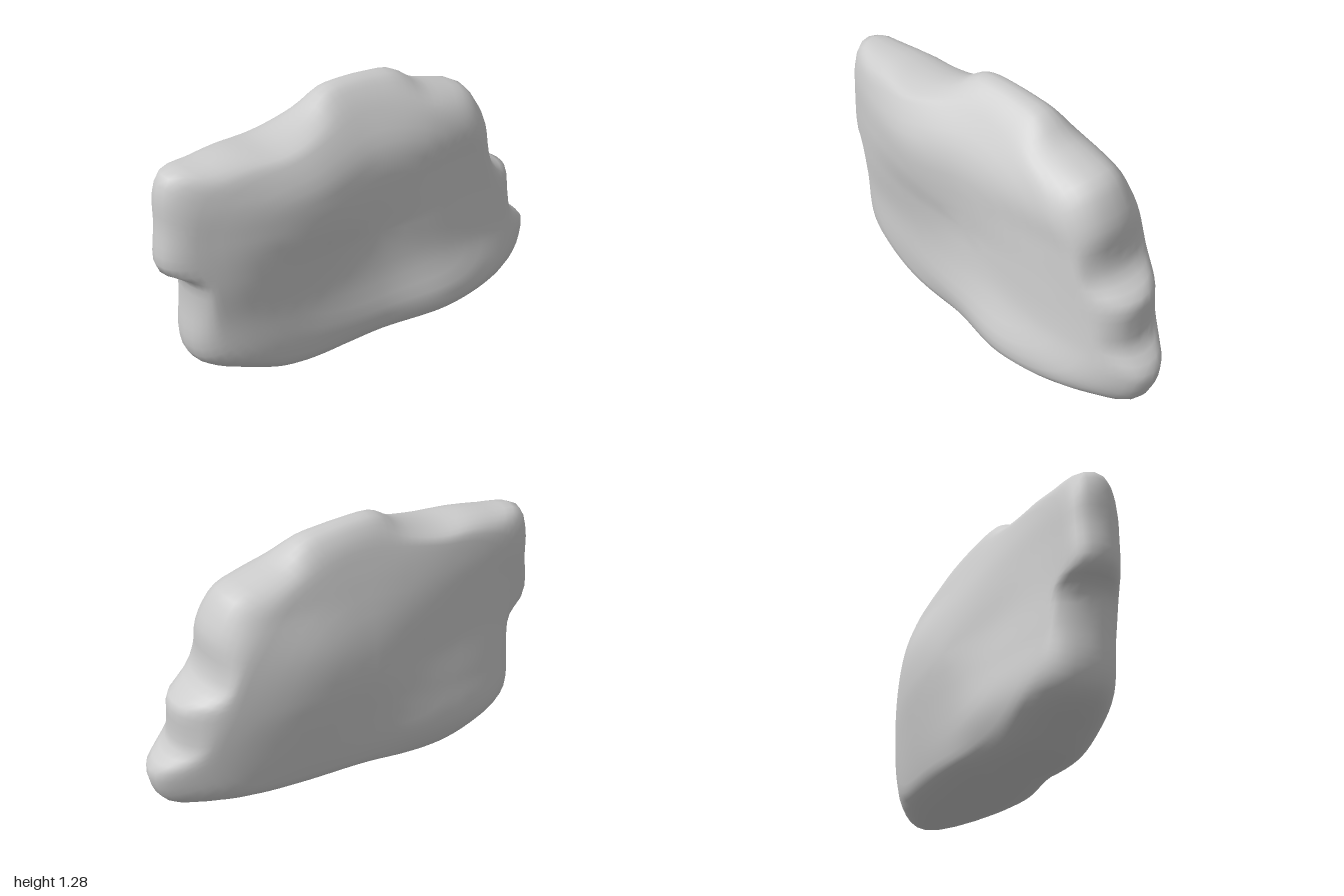
import * as THREE from 'three';
import { mergeVertices } from 'three/addons/utils/BufferGeometryUtils.js';

// Silhouette, counter-clockwise from the right-hand toe
const OUTLINE = [
  [1, 0.3], [0.94, 0.36], [0.9, 0.4], [0.89, 0.52], [0.885, 0.62], [0.82, 0.66], [0.76, 0.7], [0.73, 0.79],
  [0.725, 0.91], [0.68, 1.02], [0.62, 1.1], [0.5, 1.14], [0.37, 1.18], [0.25, 1.255], [0.12, 1.275], [0, 1.283],
  [-0.14, 1.275], [-0.25, 1.21], [-0.37, 1.165], [-0.49, 1.143], [-0.65, 1.145], [-0.8, 1.13], [-0.94, 1.11],
  [-0.98, 1.02], [-0.985, 0.87], [-1, 0.7], [-0.985, 0.65], [-0.89, 0.59], [-0.875, 0.47], [-0.885, 0.24],
  [-0.85, 0.15], [-0.65, 0.06], [-0.47, 0.005], [-0.22, 0.015], [0, 0.05], [0.4, 0.065], [0.84, 0.09],
  [0.93, 0.115], [0.98, 0.18],
];

// Depth of the front and back faces: rows at y = 0, .2, .4, .6, .8, 1, 1.28; columns across x
const FRONT = [
  [0.09, 0.16, 0.20, 0.21, 0.25, 0.21, 0.12],
  [0.10, 0.18, 0.22, 0.265, 0.315, 0.255, 0.14],
  [0.10, 0.18, 0.215, 0.235, 0.25, 0.21, 0.13],
  [0.10, 0.20, 0.235, 0.22, 0.225, 0.185, 0.11],
  [0.10, 0.21, 0.27, 0.23, 0.21, 0.17, 0.10],
  [0.10, 0.19, 0.25, 0.21, 0.19, 0.155, 0.09],
  [0.08, 0.09, 0.08, 0.05, 0.05, 0.05, 0.04],
];
const BACK = [
  [0.12, 0.18, 0.20, 0.20, 0.20, 0.17, 0.10],
  [0.14, 0.225, 0.265, 0.25, 0.25, 0.215, 0.12],
  [0.13, 0.205, 0.25, 0.27, 0.285, 0.24, 0.14],
  [0.12, 0.18, 0.225, 0.285, 0.31, 0.25, 0.14],
  [0.12, 0.165, 0.215, 0.265, 0.295, 0.24, 0.13],
  [0.12, 0.15, 0.18, 0.205, 0.225, 0.21, 0.12],
  [0.10, 0.10, 0.10, 0.12, 0.14, 0.14, 0.10],
];

// Smooth cubic reading of evenly spaced samples
function cubic(v, u) {
  const last = v.length - 1;
  u = THREE.MathUtils.clamp(u, 0, last);
  const i = Math.min(Math.floor(u), last - 1), t = u - i;
  const a = v[Math.max(i - 1, 0)], b = v[i], c = v[i + 1], d = v[Math.min(i + 2, last)];
  return b + 0.5 * t * (c - a + t * (2 * a - 5 * b + 4 * c - d + t * (3 * (b - c) + d - a)));
}

function depth(grid, x, y) {
  const row = y < 1 ? y / 0.2 : 5 + (y - 1) / 0.28;
  return cubic(grid.map((r) => cubic(r, (x + 1) * 3)), row);
}

function rockGeometry() {
  const around = 120, reach = 7, centre = new THREE.Vector3(0, 0.62, 0);
  const curve = new THREE.CatmullRomCurve3(
    OUTLINE.map(([x, y]) => new THREE.Vector3(x, y, 0)), true, 'centripetal');
  const rim = curve.getSpacedPoints(around).slice(0, around);

  // Softened rim, so the notches fade out on the broad faces
  const soft = rim.map((_, i) => {
    const sum = new THREE.Vector3();
    for (let k = -reach; k <= reach; k++) sum.add(rim[(i + k + around) % around]);
    return sum.divideScalar(2 * reach + 1);
  });

  // Rings run from the front centre out to the rim and in again to the back centre
  const steps = [1, 0.85, 0.7, 0.56, 0.44, 0.34, 0.26, 0.19, 0.14, 0.1, 0.07, 0.045, 0.025, 0.009];
  const rings = [
    ...steps.map((s) => [s, 1]), [0, 1],
    ...steps.slice().reverse().map((s) => [s, -1]),
  ];
  const pos = [], index = [];
  for (const [s, side] of rings) {
    rim.forEach((edge, i) => {
      const p = edge.clone().lerp(soft[i], THREE.MathUtils.smoothstep(s, 0, 0.18)).lerp(centre, s);
      const f = depth(FRONT, p.x, p.y), b = depth(BACK, p.x, p.y);
      // The left end is blunter than the right
      const round = 0.1 + 0.04 * THREE.MathUtils.smoothstep(edge.x, -1, 0.4);
      const inner = 1 - Math.min(s / round, 1);
      pos.push(p.x, p.y, (f - b) / 2 + side * Math.sqrt(1 - inner * inner) * (f + b) / 2);
    });
  }
  for (let k = 0; k < rings.length - 1; k++) {
    for (let i = 0; i < around; i++) {
      const a = k * around + i, d = k * around + (i + 1) % around;
      const b = a + around, c = d + around;
      if (k > 0) index.push(a, c, d);
      if (k < rings.length - 2) index.push(a, b, c);
    }
  }
  const geo = new THREE.BufferGeometry();
  geo.setAttribute('position', new THREE.Float32BufferAttribute(pos, 3));
  geo.setIndex(index);
  const merged = mergeVertices(geo, 1e-4);
  merged.computeVertexNormals();
  return merged;
}

export function createModel() {
  const group = new THREE.Group();
  group.name = 'rock';
  const slab = new THREE.Mesh(rockGeometry(), new THREE.MeshStandardMaterial({ color: 0xcccccc }));
  slab.name = 'rockSlab';
  group.add(slab);
  return group;
}
